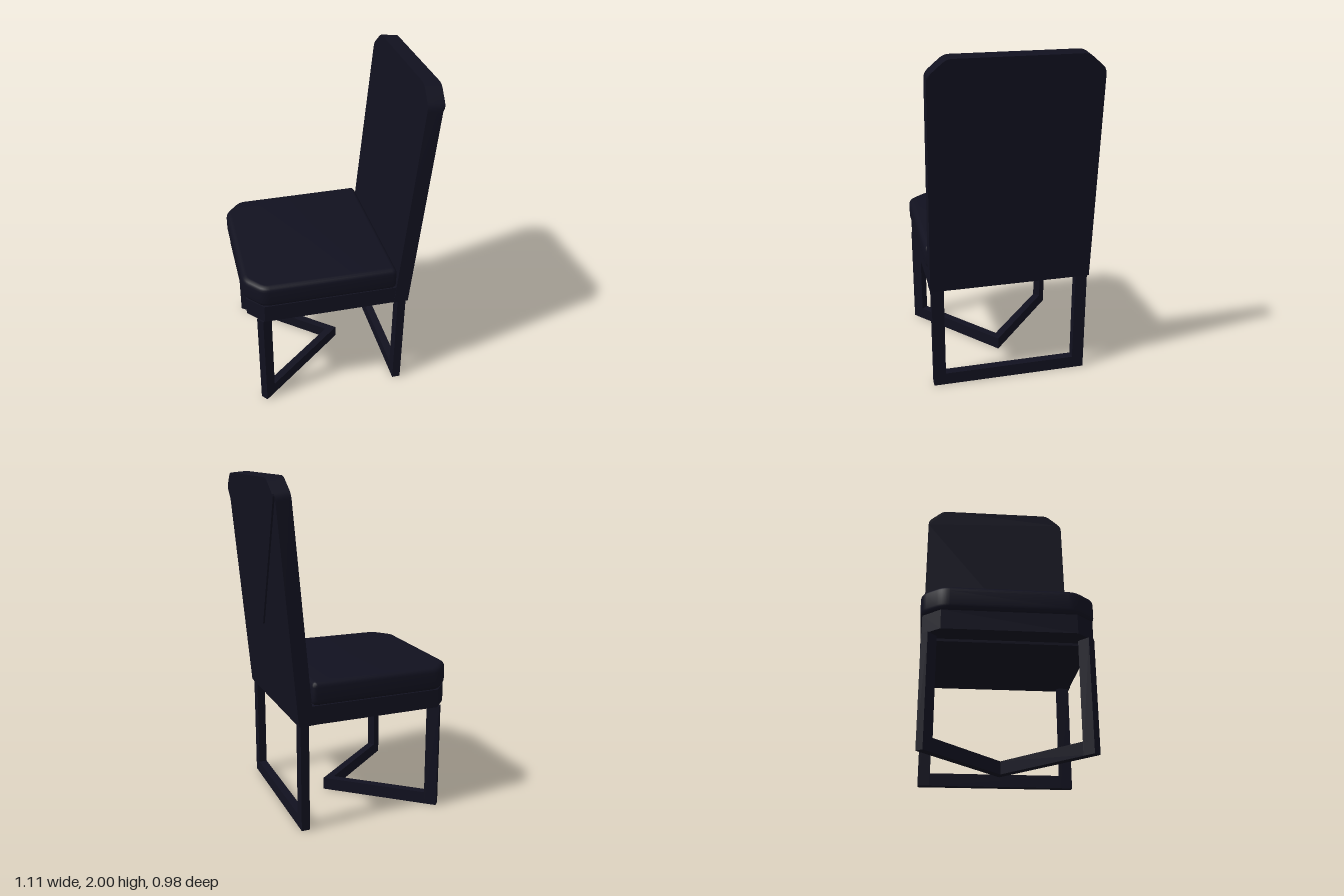
import * as THREE from 'three';
import { toCreasedNormals } from 'three/addons/utils/BufferGeometryUtils.js';

const material = new THREE.MeshStandardMaterial({ color: 0x11111f });

// Polygon whose corners are softened by a radius; each point is [x, y, radius]
function softShape(points) {
  const shape = new THREE.Shape();
  const n = points.length;
  points.forEach(([x, y, r = 0], i) => {
    const corner = new THREE.Vector2(x, y);
    const towards = (p) => new THREE.Vector2(p[0], p[1]).sub(corner).setLength(r).add(corner);
    const a = towards(points[(i + n - 1) % n]);
    const b = towards(points[(i + 1) % n]);
    if (i === 0) shape.moveTo(a.x, a.y);
    else shape.lineTo(a.x, a.y);
    if (r > 0) shape.quadraticCurveTo(x, y, b.x, b.y);
  });
  shape.closePath();
  return shape;
}

function addMesh(parent, name, geometry) {
  const mesh = new THREE.Mesh(geometry, material);
  mesh.name = name;
  parent.add(mesh);
  return mesh;
}

function addBox(parent, name, size, position, turn = 0) {
  const mesh = addMesh(parent, name, new THREE.BoxGeometry(...size));
  mesh.position.set(...position);
  mesh.rotation.y = turn;
  return mesh;
}

// Horizontal slab from a plan outline, standing between two heights
function slab(points, y0, y1, bevel = 0) {
  const geometry = new THREE.ExtrudeGeometry(softShape(points), {
    depth: y1 - y0 - 2 * bevel, curveSegments: 5,
    bevelEnabled: bevel > 0, bevelSize: bevel, bevelThickness: bevel, bevelOffset: -bevel, bevelSegments: 4,
  });
  geometry.rotateX(-Math.PI / 2).translate(0, y0 + bevel, 0);
  return toCreasedNormals(geometry, 0.6);
}

// Upright panel facing along x, leaned back, with its top cut square to the lean
function leaningPanel(points, x0, depth) {
  const slope = 0.0887;
  const geometry = new THREE.ExtrudeGeometry(softShape(points), { depth, bevelEnabled: false, curveSegments: 4 });
  geometry.rotateY(Math.PI / 2);
  const pos = geometry.attributes.position;
  for (let i = 0; i < pos.count; i++) {
    const x = pos.getX(i) + x0;
    const y = pos.getY(i);
    pos.setX(i, 0.334 + x + slope * (y - 0.64));
    if (y > 1.5) pos.setY(i, y - slope * x);
  }
  return toCreasedNormals(geometry, 0.35);
}

export function createModel() {
  const chair = new THREE.Group();
  chair.name = 'chair';

  // Seat: underside board, frame and padded cushion with clipped front corners
  addBox(chair, 'seatUnderside', [0.73, 0.02, 0.8], [-0.035, 0.635, 0]);
  addMesh(chair, 'seatFrame', slab([
    [-0.54, -0.37], [-0.45, -0.47], [0.36, -0.475], [0.36, 0.475], [-0.45, 0.47], [-0.54, 0.37],
  ], 0.64, 0.75));
  addMesh(chair, 'seatCushion', slab([
    [-0.555, -0.365, 0.04], [-0.455, -0.482, 0.04], [0.342, -0.488, 0.03],
    [0.342, 0.488, 0.03], [-0.455, 0.482, 0.04], [-0.555, 0.365, 0.04],
  ], 0.75, 0.89, 0.032));

  // Backrest with a raised V panel on its rear
  const backrest = new THREE.Group();
  backrest.name = 'backrest';
  chair.add(backrest);
  addMesh(backrest, 'backPanel', leaningPanel([
    [-0.478, 0.64], [0.478, 0.64], [0.478, 1.91, 0.03], [0.375, 2, 0.03], [-0.375, 2, 0.03], [-0.478, 1.91, 0.03],
  ], 0, 0.087));
  addMesh(backrest, 'rearVPanel', leaningPanel([
    [0, 1.13], [0.478, 1.91, 0.03], [0.375, 2, 0.03], [-0.375, 2, 0.03], [-0.478, 1.91, 0.03],
  ], 0.085, 0.012));

  // Rear leg frame
  const rearFrame = new THREE.Group();
  rearFrame.name = 'rearLegFrame';
  chair.add(rearFrame);
  for (const side of [-1, 1]) {
    addBox(rearFrame, 'rearLeg', [0.05, 0.66, 0.072], [0.385, 0.33, side * 0.434]);
  }
  addBox(rearFrame, 'rearFootBar', [0.05, 0.075, 0.8], [0.385, 0.0375, 0]);

  // Front legs joined by a V of floor bars that points to the rear
  const frontFrame = new THREE.Group();
  frontFrame.name = 'frontLegFrame';
  chair.add(frontFrame);
  const angle = Math.atan2(0.43, 0.51);
  for (const side of [-1, 1]) {
    addBox(frontFrame, 'frontLeg', [0.075, 0.64, 0.047], [-0.448, 0.32, side * 0.43], side * angle);
  }
  const dx = 0.0235 * Math.sin(angle);
  const dz = 0.0235 * Math.cos(angle);
  const tip = 0.0235 / Math.sin(angle);
  addMesh(frontFrame, 'frontFootBars', slab([
    [-0.448 - dx, -0.43 + dz], [-0.448 + dx, -0.43 - dz], [0.062 + tip, 0],
    [-0.448 + dx, 0.43 + dz], [-0.448 - dx, 0.43 - dz], [0.062 - tip, 0],
  ], 0, 0.075));

  return chair;
}
